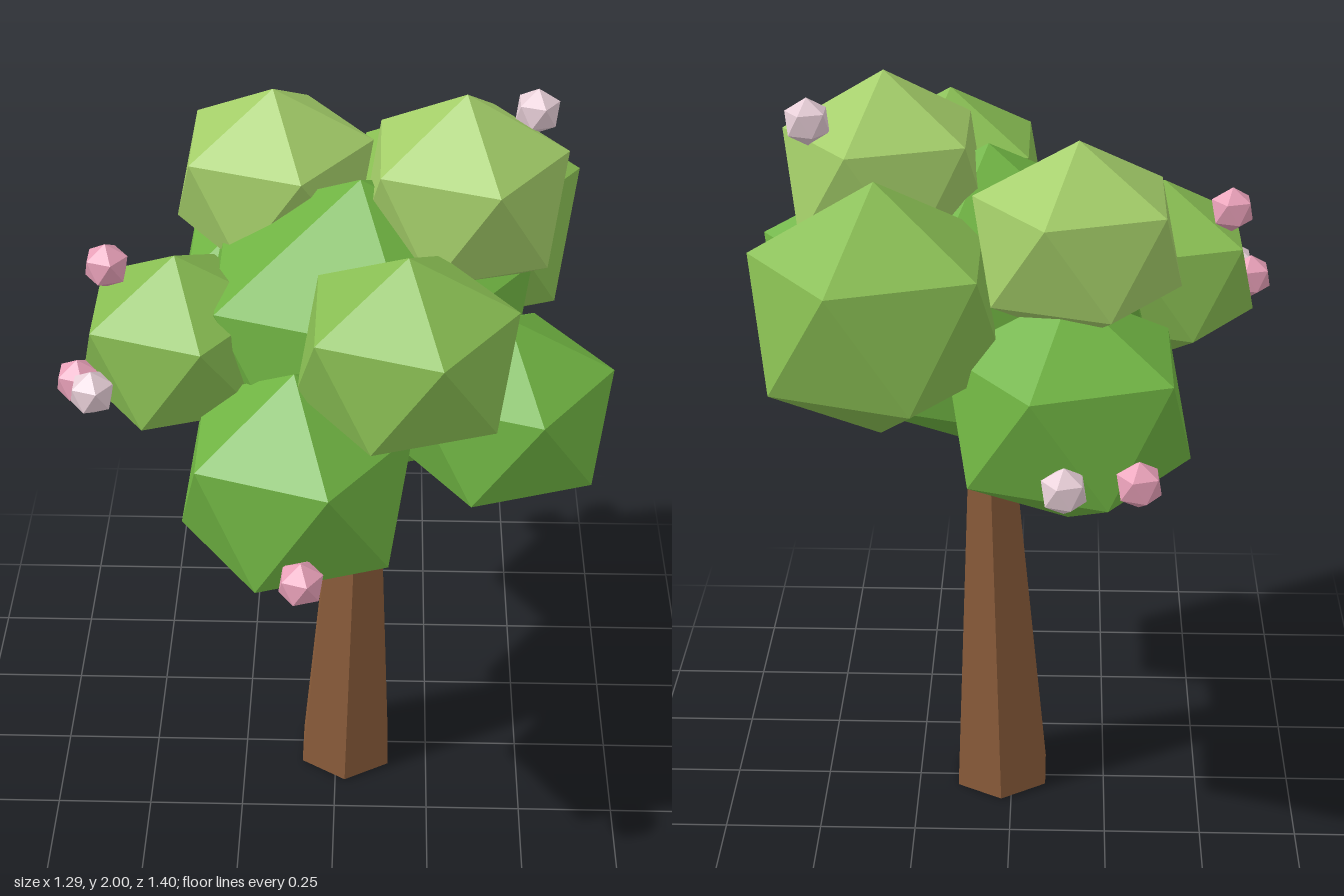
import * as THREE from 'three';

const flat = (color) => new THREE.MeshStandardMaterial({ color, flatShading: true });

// Icosahedron standing on one vertex, with an upper-ring vertex towards +x
function uprightIcosahedron() {
  const geometry = new THREE.IcosahedronGeometry(1, 0);
  geometry.rotateZ(-Math.atan(2 / (1 + Math.sqrt(5))));
  return geometry;
}

export function createModel() {
  const tree = new THREE.Group();
  tree.name = 'tree';

  // Tapered six-sided trunk, leaning slightly to +x
  const trunk = new THREE.Mesh(new THREE.CylinderGeometry(0.065, 0.136, 0.98, 6), flat(0x8a5c3a));
  trunk.name = 'trunk';
  trunk.position.set(0.04, 0.495, 0.018);
  trunk.rotation.z = -0.028;
  tree.add(trunk);

  const ico = uprightIcosahedron();
  const deep = flat(0x6fb342);
  const mid = flat(0x88bd52);
  const light = flat(0xa3cd68);

  // Foliage clumps: x, y, z, horizontal radius, vertical radius, material
  const clumps = [
    [0.055, 1.405, 0.01, 0.455, 0.4, deep],
    [-0.087, 1.215, 0.375, 0.303, 0.295, deep],
    [0.394, 1.362, 0.284, 0.278, 0.246, deep],
    [-0.143, 1.29, -0.358, 0.32, 0.29, deep],
    [0.3, 1.515, -0.33, 0.327, 0.311, mid],
    [0.165, 1.58, 0.388, 0.277, 0.247, mid],
    [-0.37, 1.44, 0.138, 0.26, 0.233, mid],
    [0.296, 1.743, -0.043, 0.269, 0.255, light],
    [-0.158, 1.66, -0.253, 0.27, 0.24, light],
  ];
  const foliage = new THREE.Group();
  foliage.name = 'foliage';
  for (const [x, y, z, r, h, material] of clumps) {
    const clump = new THREE.Mesh(ico, material);
    clump.name = 'foliageClump';
    clump.position.set(x, y, z);
    clump.scale.set(r, h, r);
    foliage.add(clump);
  }
  tree.add(foliage);

  // Small blossoms resting on the crown
  const pink = flat(0xe8a0b8);
  const pale = flat(0xe6cdd6);
  const spots = [
    [-0.535, 1.615, 0.09, pink],
    [-0.6, 1.385, 0.23, pink],
    [-0.065, 1.13, 0.652, pink],
    [-0.3, 1.22, -0.61, pink],
    [-0.56, 1.395, 0.293, pale],
    [0.465, 1.905, -0.147, pale],
    [-0.132, 1.225, -0.655, pale],
  ];
  const blossoms = new THREE.Group();
  blossoms.name = 'blossoms';
  for (const [x, y, z, material] of spots) {
    const blossom = new THREE.Mesh(ico, material);
    blossom.name = 'blossom';
    blossom.position.set(x, y, z);
    blossom.scale.setScalar(0.057);
    blossoms.add(blossom);
  }
  tree.add(blossoms);

  return tree;
}
